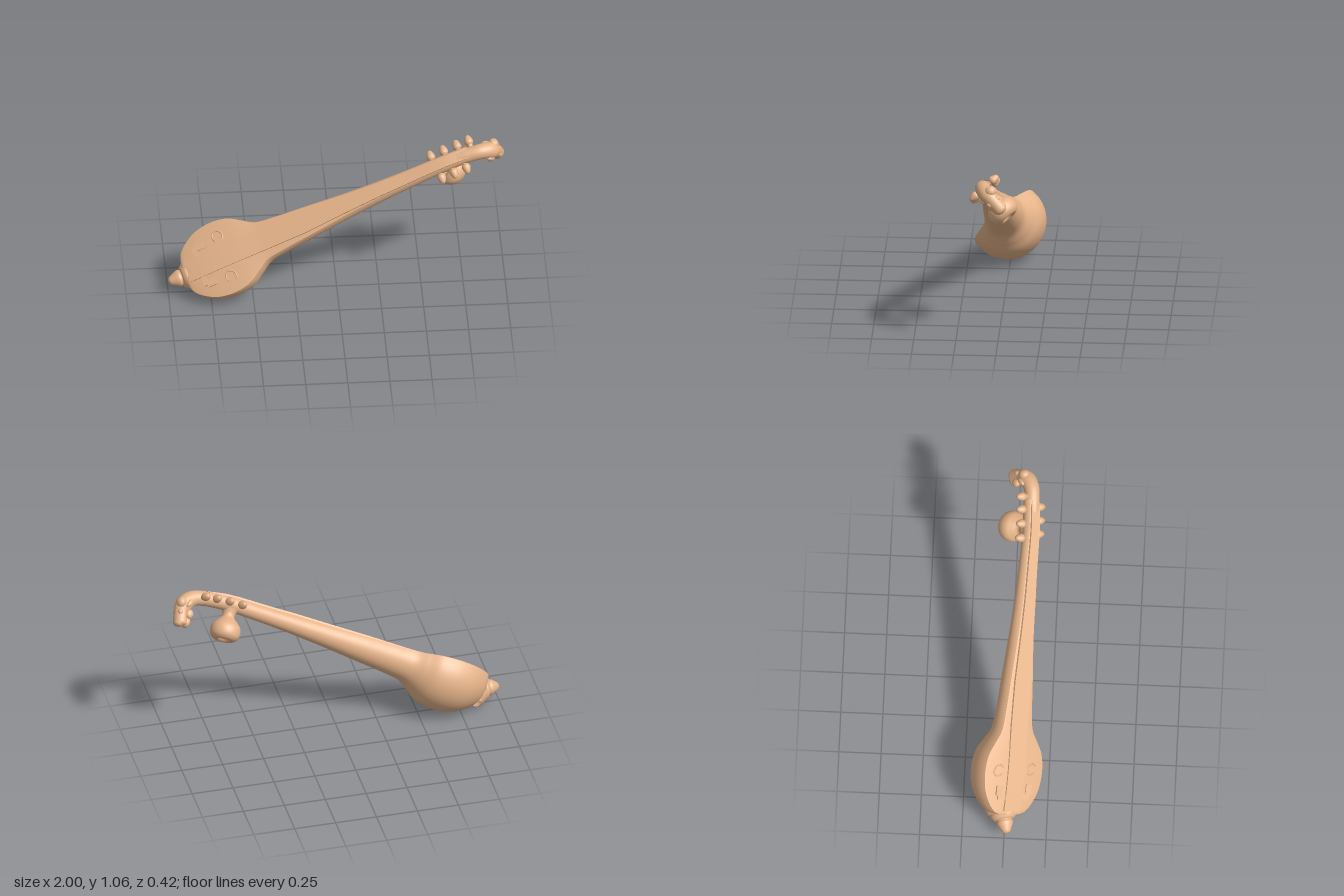
import * as THREE from 'three';
import { ParametricGeometry } from 'three/addons/geometries/ParametricGeometry.js';

// Local frame: x runs along the neck, y across the soundboard, z out of the soundboard.
const wood = new THREE.MeshStandardMaterial({ color: 0xe6b48a, side: THREE.DoubleSide });

function add(parent, name, geometry, x = 0, y = 0, z = 0) {
  const mesh = new THREE.Mesh(geometry, wood);
  mesh.name = name;
  mesh.position.set(x, y, z);
  parent.add(mesh);
  return mesh;
}

const lathe = (pts, seg = 32) =>
  new THREE.LatheGeometry(new THREE.SplineCurve(pts.map(p => new THREE.Vector2(...p))).getPoints(pts.length * 5), seg);

// Body radius along the length: bowl, shoulder, tapering neck
const profile = new THREE.CatmullRomCurve3([
  [-0.23, 0.005], [-0.222, 0.09], [-0.198, 0.135], [-0.1, 0.2], [0, 0.222], [0.08, 0.219], [0.145, 0.202],
  [0.21, 0.164], [0.28, 0.125], [0.4, 0.108], [0.6, 0.092], [0.86, 0.071], [1.15, 0.055],
  [1.45, 0.048], [1.66, 0.046],
].map(([s, r]) => new THREE.Vector3(s, r, 0)), false, 'centripetal');
const samples = profile.getPoints(300);

function radiusAt(s) {
  const i = Math.max(1, samples.findIndex(p => p.x >= s));
  const a = samples[i - 1], b = samples[i];
  return a.y + (b.y - a.y) * (s - a.x) / (b.x - a.x);
}
const WIDEN = 1.03;
const edgeHeight = r => Math.min(0.042, 0.72 * r);
const crown = r => 0.09 * r;
// The neck bends gently backwards towards the head
const bend = s => -0.3 * Math.max(0, s - 1.4) ** 2;

// Round hull cut flat by the soundboard
function hullGeometry() {
  return new ParametricGeometry((u, v, out) => {
    const { x, y: r } = profile.getPoint(u);
    const cut = Math.asin(edgeHeight(r) / r);
    const a = cut - v * (Math.PI + 2 * cut);
    out.set(x, WIDEN * r * Math.cos(a), r * Math.sin(a) + bend(x));
  }, 120, 40);
}

// Slightly arched soundboard
function boardGeometry() {
  return new ParametricGeometry((u, v, out) => {
    const { x, y: r } = profile.getPoint(u);
    const t = edgeHeight(r), side = 2 * v - 1;
    out.set(x, side * WIDEN * Math.sqrt(r * r - t * t), t + crown(r) * (1 - side * side) + bend(x));
  }, 120, 12);
}

// Raised fingerboard that follows the board, narrows with the neck and fades out at the head
function fingerboardGeometry(start, end) {
  const g = new THREE.BoxGeometry(1, 2, 1, 60, 1, 1);
  const p = g.attributes.position;
  for (let i = 0; i < p.count; i++) {
    const s = start + (p.getX(i) + 0.5) * (end - start);
    const r = radiusAt(s);
    const lift = 0.016 * Math.min(1, (end - s) / 0.15 + 0.1);
    p.setXYZ(i, s, p.getY(i) * Math.min(0.064, 0.68 * r), edgeHeight(r) + crown(r) * 0.9 + p.getZ(i) * lift + bend(s));
  }
  g.computeVertexNormals();
  return g;
}

// Neck end curling back into a carved animal head
function scrollGeometry() {
  const path = new THREE.CatmullRomCurve3([
    [1.58, 0, -0.01], [1.65, -0.006, -0.019], [1.715, -0.011, -0.036], [1.757, -0.014, -0.072],
    [1.775, -0.014, -0.12], [1.772, -0.014, -0.17], [1.764, -0.014, -0.222],
  ].map(p => new THREE.Vector3(...p)));
  const girth = new THREE.SplineCurve([0.045, 0.045, 0.045, 0.048, 0.051, 0.044, 0.043, 0.042]
    .map((r, i) => new THREE.Vector2(i / 7, r)));
  return new ParametricGeometry((u, v, out) => {
    const t = path.getTangent(u);
    const side = new THREE.Vector3(0, 1, 0).addScaledVector(t, -t.y).normalize();
    const up = new THREE.Vector3().crossVectors(t, side);
    const r = girth.getPoint(u).y * Math.sqrt(Math.max(0, 1 - Math.max(0, (u - 0.9) / 0.1) ** 4));
    const a = -v * Math.PI * 2;
    out.copy(path.getPoint(u)).addScaledVector(side, r * Math.cos(a)).addScaledVector(up, r * Math.sin(a));
  }, 60, 28);
}

function ellipsoid(parent, name, x, y, z, sx, sy, sz) {
  const m = add(parent, name, new THREE.SphereGeometry(1, 16, 12), x, y, z);
  m.scale.set(sx, sy, sz);
  return m;
}

export function createModel() {
  const root = new THREE.Group();
  root.name = 'stringInstrument';
  const lute = new THREE.Group();
  lute.name = 'lute';
  root.add(lute);

  add(lute, 'bowlAndNeck', hullGeometry());
  add(lute, 'soundboard', boardGeometry());
  add(lute, 'fingerboard', fingerboardGeometry(-0.2, 1.655));

  // Stepped tail cone
  const tail = add(lute, 'tailCone', lathe([
    [0.105, 0], [0.1, 0.02], [0.091, 0.035], [0.08, 0.042], [0.077, 0.058], [0.062, 0.076],
    [0.048, 0.082], [0.05, 0.1], [0.038, 0.127], [0.02, 0.156], [0, 0.162],
  ]), -0.19, 0, -0.036);
  tail.rotation.set(0, 0.42, Math.PI / 2);

  // Relief carvings on both sides of the soundboard
  for (const side of [-1, 1]) {
    const ring = add(lute, 'soundRing', new THREE.TorusGeometry(0.036, 0.006, 8, 28, 5), 0.045, side * 0.128, 0.054);
    ring.rotation.set(-side * 0.1, 0, -1);
    ring.scale.y = 0.85;
    add(lute, 'bridgeFoot', new THREE.BoxGeometry(0.06, 0.045, 0.016), -0.075, side * 0.115, 0.054);
    add(lute, 'bridgeStep', new THREE.BoxGeometry(0.03, 0.065, 0.014), -0.115, side * 0.09, 0.054);
  }

  // Second resonator below the neck, with a shallow hollow underside
  const gourd = add(lute, 'upperGourd', lathe([
    [0.05, 0], [0.038, 0.03], [0.04, 0.052], [0.062, 0.076], [0.085, 0.104], [0.092, 0.136],
    [0.084, 0.17], [0.06, 0.19], [0.04, 0.188], [0.024, 0.177], [0, 0.172],
  ], 40), 1.472, -0.006, -0.034);
  gourd.rotation.x = -Math.PI / 2;

  // Tuning pegs: four on one side, three on the other
  const pegShape = lathe([
    [0.016, 0], [0.016, 0.03], [0.024, 0.042], [0.026, 0.055], [0.021, 0.073], [0.012, 0.089], [0, 0.095],
  ], 18);
  const addPeg = (s, side) => {
    const peg = add(lute, 'tuningPeg', pegShape, s, side * 0.016, -0.004 + bend(s));
    if (side < 0) peg.rotation.x = Math.PI;
  };
  [1.43, 1.515, 1.6, 1.675].forEach(s => addPeg(s, 1));
  [1.45, 1.53, 1.61].forEach(s => addPeg(s, -1));

  // Head
  const head = new THREE.Group();
  head.name = 'carvedHead';
  lute.add(head);
  add(head, 'scroll', scrollGeometry());
  ellipsoid(head, 'crest', 1.797, 0.012, -0.088, 0.03, 0.034, 0.034);
  ellipsoid(head, 'forehead', 1.785, -0.014, -0.11, 0.036, 0.042, 0.038);
  ellipsoid(head, 'nose', 1.779, -0.014, -0.21, 0.03, 0.036, 0.022);
  ellipsoid(head, 'jaw', 1.733, -0.014, -0.19, 0.026, 0.034, 0.036);
  for (const side of [-1, 1]) {
    ellipsoid(head, 'eye', 1.793, -0.014 + side * 0.032, -0.145, 0.016, 0.015, 0.018);
    const ear = ellipsoid(head, 'ear', 1.752, -0.014 + side * 0.048, -0.085, 0.016, 0.015, 0.03);
    ear.rotation.y = -0.5;
    ellipsoid(head, 'cheek', 1.735, -0.014 + side * 0.036, -0.145, 0.024, 0.017, 0.028);
  }

  // Lean the instrument on its bowl
  const along = new THREE.Vector3(0.885, 0.463, 0.05).normalize();
  const across = new THREE.Vector3(-0.286, 0.613, -0.736);
  const out = new THREE.Vector3().crossVectors(along, across).normalize();
  across.crossVectors(out, along);
  lute.quaternion.setFromRotationMatrix(new THREE.Matrix4().makeBasis(along, across, out));
  lute.position.set(-0.69, 0.225, 0.014);
  return root;
}
